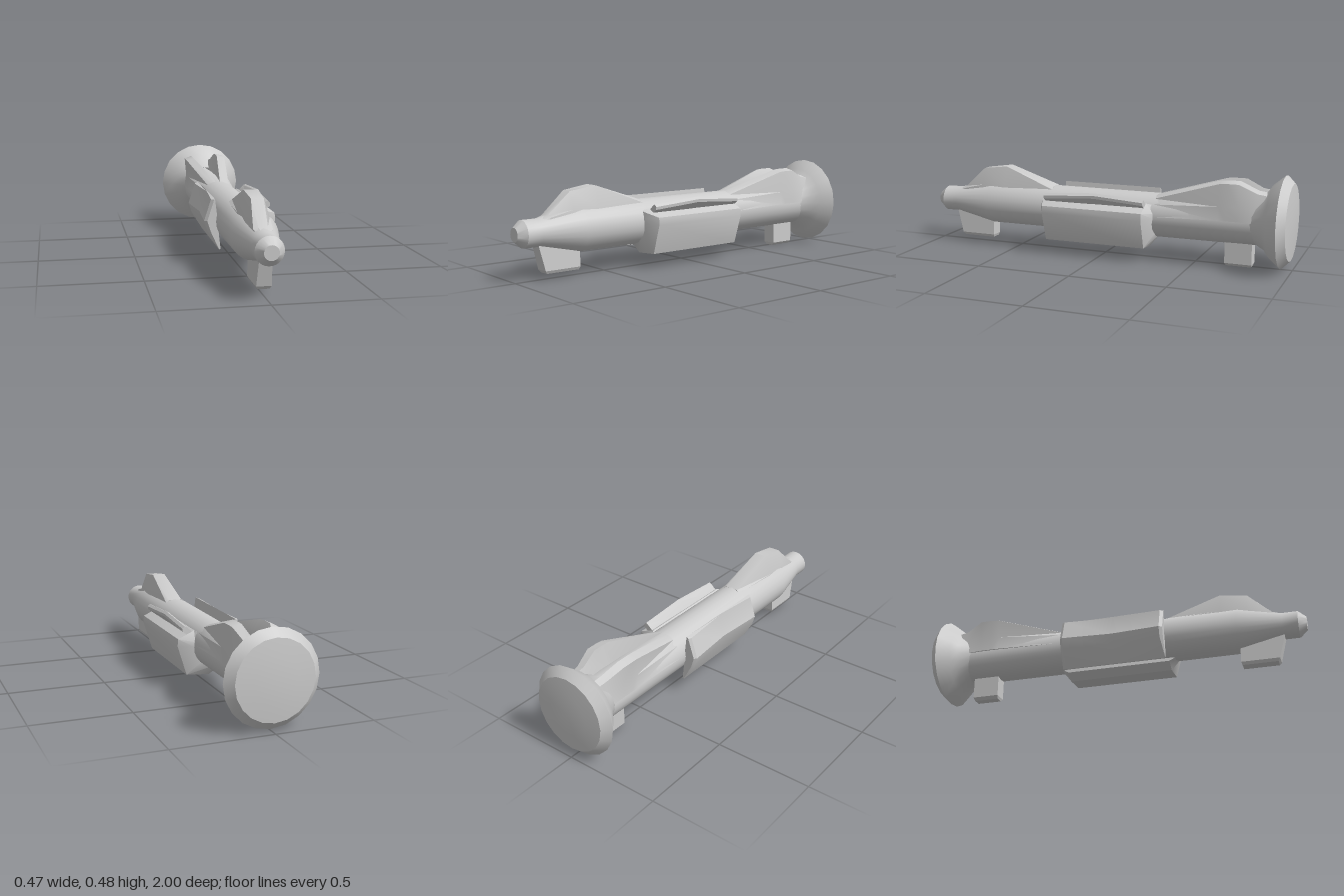
import * as THREE from 'three';
import { toCreasedNormals } from 'three/addons/utils/BufferGeometryUtils.js';

const AXIS_Y = 0.23;
const material = new THREE.MeshStandardMaterial({ color: 0xcccccc });

// Solid through cross-sections [z, [[x, y], ...]], listed from front to back
function loft(sections, crease = 0.6) {
  const n = sections[0][1].length, pos = [], idx = [];
  for (const [z, pts] of sections) for (const [x, y] of pts) pos.push(x, y, z);
  const outline = sections[0][1].map(([x, y]) => new THREE.Vector2(x, y));
  const ccw = !THREE.ShapeUtils.isClockWise(outline);
  const face = (a, b, c) => (ccw ? idx.push(a, b, c) : idx.push(a, c, b));
  for (let s = 0; s < sections.length - 1; s++) {
    for (let i = 0; i < n; i++) {
      const a = s * n + i, b = s * n + (i + 1) % n;
      face(a, a + n, b);
      face(b, a + n, b + n);
    }
  }
  // end caps, oriented by the sign of each triangle
  const last = (sections.length - 1) * n;
  for (const [base, pts, front] of [[0, sections[0][1], true], [last, sections.at(-1)[1], false]]) {
    const v = pts.map(([x, y]) => new THREE.Vector2(x, y));
    for (const [a, b, c] of THREE.ShapeUtils.triangulateShape(v, [])) {
      const area = (v[b].x - v[a].x) * (v[c].y - v[a].y) - (v[c].x - v[a].x) * (v[b].y - v[a].y);
      if ((area > 0) === front) idx.push(base + a, base + b, base + c);
      else idx.push(base + a, base + c, base + b);
    }
  }
  const g = new THREE.BufferGeometry();
  g.setAttribute('position', new THREE.Float32BufferAttribute(pos, 3));
  g.setIndex(idx);
  return toCreasedNormals(g, crease);
}

// Turned part along z from [radius, z] pairs, listed from back to front
function turned(profile, segments) {
  const g = new THREE.LatheGeometry(profile.map(([r, z]) => new THREE.Vector2(r, z)), segments);
  g.rotateX(Math.PI / 2);
  return toCreasedNormals(g, 0.6);
}

export function createModel() {
  const group = new THREE.Group();
  const add = (name, geometry, y = 0) => {
    const mesh = new THREE.Mesh(geometry, material);
    mesh.name = name;
    mesh.position.y = y;
    group.add(mesh);
  };

  // Tube with stepped nose
  add('barrel', turned([[0, -0.9], [0.113, -0.9], [0.115, 0.3], [0.115, 0.66], [0.068, 0.88],
    [0.068, 0.96], [0.035, 1], [0, 1]], 24), AXIS_Y);

  // Flared rear end
  add('rearBell', turned([[0, -1], [0.11, -0.998], [0.195, -0.99], [0.235, -0.95], [0.185, -0.89],
    [0.15, -0.865], [0.113, -0.8]], 20), 0.243);

  // Sight hump on top of the nose: [z, top y, top half width, base half width]
  add('frontHump', loft([[0.885, 0.29, 0.018, 0.03], [0.83, 0.31, 0.022, 0.05],
    [0.71, 0.418, 0.03, 0.065], [0.57, 0.437, 0.035, 0.072], [0.29, 0.343, 0.035, 0.06]]
    .map(([z, y, t, b]) => {
      const shoulder = Math.min(0.33, y - 0.01);
      return [z, [[-b, 0.25], [b, 0.25], [b * 0.9, shoulder], [t, y], [-t, y], [-b * 0.9, shoulder]]];
    })));

  // Pair of ridges rising toward the rear bell
  const ridge = (outer, inner, side) => loft([[-0.29, 0], [-0.64, 0.97], [-0.68, 1], [-0.74, 1],
    [-0.83, 0.6], [-0.9, 0.5]].map(([z, k]) => {
    const mix = (a, b) => [side * (a[0] + (b[0] - a[0]) * k), a[1] + (b[1] - a[1]) * k];
    return [z, [mix([0.02, 0.25], [0.02, 0.25]), mix([0.112, 0.24], [0.118, 0.25]),
      mix([0.088, 0.3], [0.115, 0.32]), mix([0.06, 0.325], outer), mix([0.03, 0.338], inner),
      mix([0.01, 0.34], [0.04, 0.355])]];
  }), 0.7);
  add('rearRidgeLeft', ridge([0.102, 0.435], [0.055, 0.446], 1));
  add('rearRidgeRight', ridge([0.125, 0.42], [0.086, 0.436], -1));

  // Housing swelling out of the left side and underside
  const full = [[-0.03, 0.1], [0.02, 0.068], [0.14, 0.077], [0.188, 0.23], [0.185, 0.267],
    [0.1, 0.305], [0, 0.25]];
  const tucked = [[-0.02, 0.125], [0.02, 0.12], [0.075, 0.148], [0.113, 0.23], [0.108, 0.255],
    [0.085, 0.295], [0, 0.25]];
  add('sideHousing', loft([[0.33, tucked], [0.29, full], [-0.26, full], [-0.3, tucked]]));

  // Slim bent rail above the housing
  const rail = (z, d) => [z, [[0.09, 0.27], [0.135, 0.284], [0.16, 0.303 + d], [0.162, 0.318 + d],
    [0.15, 0.33 + d], [0.138, 0.325 + d], [0.1, 0.29]]];
  add('sideRail', loft([rail(0.29, 0), rail(0.01, 0.018), rail(-0.26, 0)], 0.4));

  // Cheek plate on the right side, waisted in the middle
  const plate = (z, d) => [z, [[-0.12, 0.349], [-0.138 + d, 0.343], [-0.173 + d, 0.235],
    [-0.157 + d, 0.183], [-0.1, 0.088], [-0.092, 0.09], [-0.1, 0.16], [-0.108, 0.25]]];
  add('cheekPlate', loft([plate(0.285, 0.014), plate(0.27, 0), plate(0.01, 0.018),
    plate(-0.25, -0.002), plate(-0.265, 0.008)], 0.4));

  // Feet: [y, half width, front z, back z] from top to bottom
  const foot = (levels) => {
    const g = loft(levels.map(([y, w, zf, zb]) => [y, [[-w, -zf], [w, -zf], [w, -zb], [-w, -zb]]]), 0.3);
    return g.rotateX(-Math.PI / 2);
  };
  add('frontFoot', foot([[0.18, 0.03, 0.89, 0.66], [0.045, 0.036, 0.855, 0.66],
    [0.03, 0.028, 0.845, 0.665]]));
  add('rearFoot', foot([[0.15, 0.037, -0.66, -0.8], [0.015, 0.037, -0.66, -0.8],
    [0, 0.022, -0.665, -0.795]]));

  return group;
}
